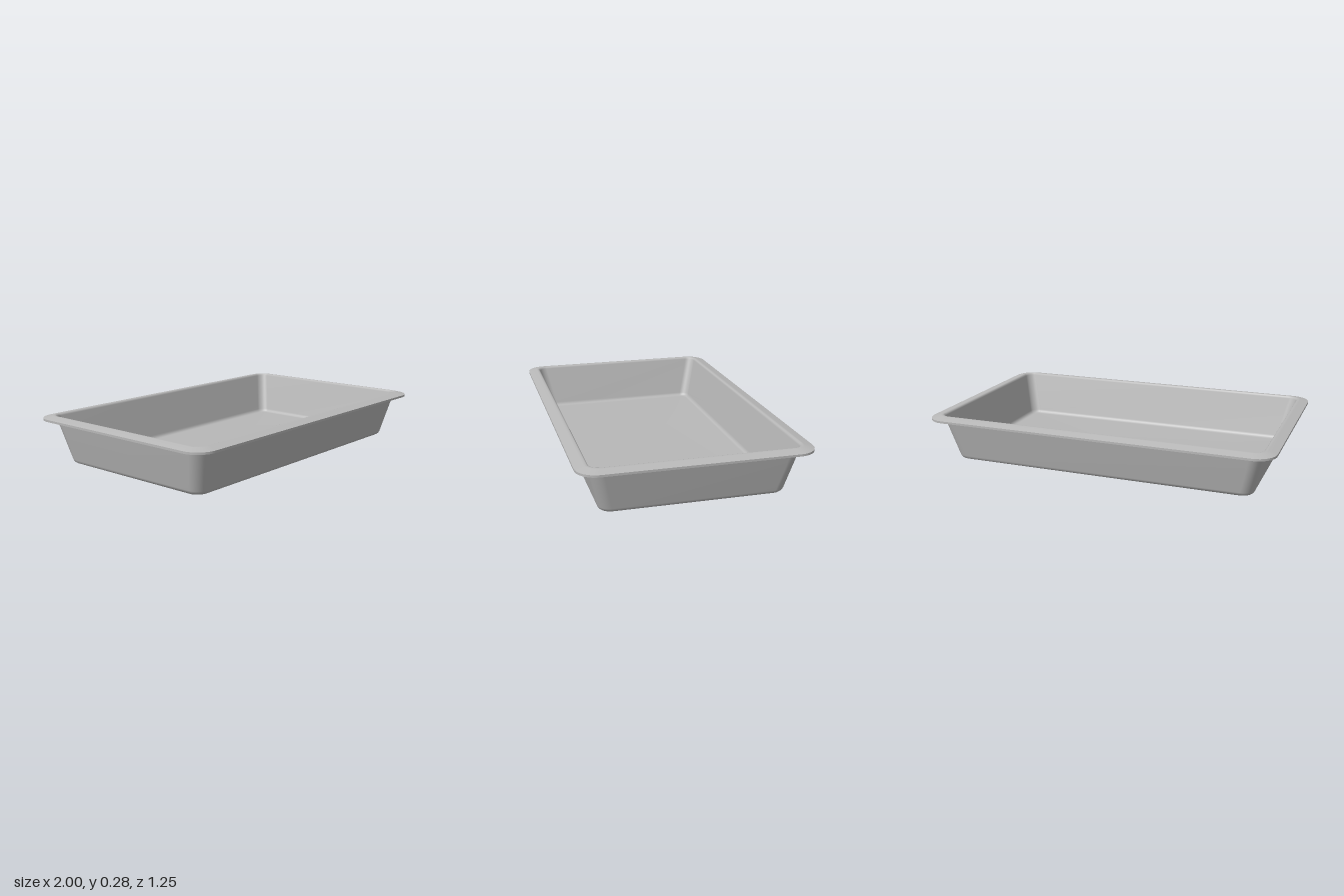
import * as THREE from 'three';

const CORNER_STEPS = 8;

// Points around a rounded rectangle; section = [half width, half depth, corner radius, height]
function ring([hx, hz, r, y]) {
  const points = [];
  const signs = [[1, 1], [-1, 1], [-1, -1], [1, -1]];
  signs.forEach(([sx, sz], corner) => {
    for (let i = 0; i <= CORNER_STEPS; i++) {
      const a = (corner + i / CORNER_STEPS) * Math.PI / 2;
      points.push(sx * (hx - r) + r * Math.cos(a), y, sz * (hz - r) + r * Math.sin(a));
    }
  });
  return points;
}

// Smooth skin through successive sections
function loft(sections) {
  const n = 4 * (CORNER_STEPS + 1);
  const positions = sections.flatMap(ring);
  const index = [];
  for (let s = 0; s < sections.length - 1; s++) {
    for (let j = 0; j < n; j++) {
      const a = s * n + j, b = s * n + (j + 1) % n;
      index.push(a, a + n, b, b, a + n, b + n);
    }
  }
  const geometry = new THREE.BufferGeometry();
  geometry.setAttribute('position', new THREE.Float32BufferAttribute(positions, 3));
  geometry.setIndex(index);
  geometry.computeVertexNormals();
  return geometry;
}

export function createModel() {
  const group = new THREE.Group();
  group.name = 'tray';
  const metal = new THREE.MeshStandardMaterial({ color: 0xb8b8b8 });
  metal.name = 'grey metal';

  const add = (name, sections) => {
    const mesh = new THREE.Mesh(loft(sections), metal);
    mesh.name = name;
    group.add(mesh);
  };

  // Underside and tapered outer walls
  add('outerShell', [
    [0, 0, 0, 0],
    [0.855, 0.475, 0.05, 0],
    [0.867, 0.487, 0.058, 0.003],
    [0.876, 0.496, 0.064, 0.011],
    [0.881, 0.501, 0.066, 0.023],
    [0.936, 0.556, 0.07, 0.25],
  ]);

  // Flat underside of the rim
  add('rimUnderside', [
    [0.936, 0.556, 0.07, 0.25],
    [1, 0.623, 0.11, 0.25],
  ]);

  // Thin outer edge of the rim
  add('rimEdge', [
    [1, 0.623, 0.11, 0.25],
    [1, 0.623, 0.11, 0.262],
  ]);

  // Sloping rim top that rolls into the inner walls and floor
  add('rimTopAndBasin', [
    [1, 0.623, 0.11, 0.262],
    [0.952, 0.573, 0.07, 0.274],
    [0.941, 0.562, 0.06, 0.275],
    [0.933, 0.554, 0.054, 0.272],
    [0.928, 0.549, 0.05, 0.263],
    [0.872, 0.494, 0.05, 0.034],
    [0.867, 0.489, 0.048, 0.022],
    [0.859, 0.481, 0.044, 0.015],
    [0.848, 0.47, 0.04, 0.012],
    [0, 0, 0, 0.012],
  ]);

  return group;
}
